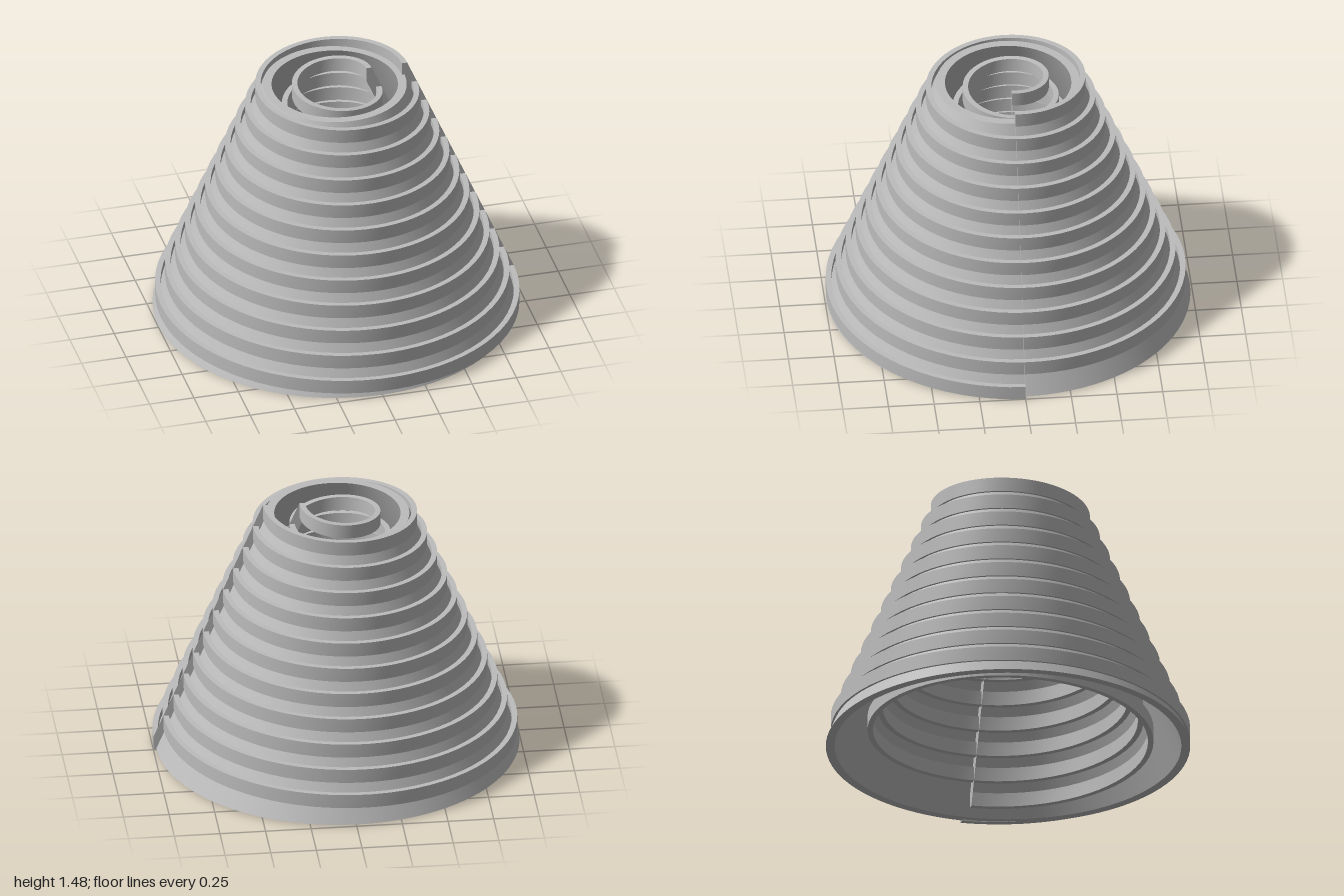
import * as THREE from 'three';
import { toCreasedNormals } from 'three/addons/utils/BufferGeometryUtils.js';

const TURNS = 11, STEPS = 72;          // helix turns, steps per turn
const RISE = 1.395, SHRINK = 0.6;      // height gained and radius lost over all turns
const THICK = 0.03, TALL = 0.08;       // ribbon cross-section

const grey = new THREE.MeshStandardMaterial({ color: 0xbdbdbd });
grey.name = 'grey';
const greyThin = grey.clone();
greyThin.side = THREE.DoubleSide;

// One side of the ribbon: the edge a-b of the cross-section swept up the conical helix
function helixStrip(radius, a, b) {
  const pos = [], idx = [];
  const n = TURNS * STEPS;
  for (let k = 0; k <= n; k++) {
    const t = k / n, ang = (k / STEPS) * Math.PI * 2;
    for (const [dr, dy] of [a, b]) {
      const r = radius - SHRINK * t + dr;
      pos.push(r * Math.cos(ang), RISE * t + dy, r * Math.sin(ang));
    }
    if (k < n) {
      const i = 2 * k;
      idx.push(i, i + 1, i + 2, i + 1, i + 3, i + 2);
    }
  }
  const g = new THREE.BufferGeometry();
  g.setAttribute('position', new THREE.Float32BufferAttribute(pos, 3));
  g.setIndex(idx);
  g.computeVertexNormals();
  return g;
}

// Rectangular ribbon wound on a cone, with a flat web joining its two ends
function ribbon(name, radius) {
  const group = new THREE.Group();
  group.name = name;
  const section = [[-THICK, 0], [0, 0], [0, TALL], [-THICK, TALL]];
  const sides = ['Underside', 'OuterFace', 'TopFace', 'InnerFace'];
  section.forEach((corner, i) => {
    const m = new THREE.Mesh(helixStrip(radius, corner, section[(i + 1) % 4]), grey);
    m.name = name + sides[i];
    group.add(m);
  });

  const end = radius - SHRINK;
  const outline = [
    [radius - THICK, 0], [radius, 0], [radius, TALL],
    [end, RISE + TALL], [end - THICK, RISE + TALL], [end - THICK, RISE],
  ].map(([x, y]) => new THREE.Vector2(x, y));
  const web = new THREE.Mesh(new THREE.ShapeGeometry(new THREE.Shape(outline)), greyThin);
  web.name = name + 'SeamWeb';
  group.add(web);
  return group;
}

export function createModel() {
  const model = new THREE.Group();
  model.name = 'threadedCone';
  const body = new THREE.Group();
  body.name = 'body';
  body.position.x = -0.008;
  model.add(body);

  // Hollow cone wall, open at both ends
  const profile = [[0.992, 0.007], [0.392, 1.403], [0.344, 1.403], [0.944, 0.007], [0.992, 0.007]]
    .map(([r, y]) => new THREE.Vector2(r, y));
  const wall = new THREE.Mesh(toCreasedNormals(new THREE.LatheGeometry(profile, 96), 0.5), grey);
  wall.name = 'coneWall';
  body.add(wall);

  // Thread on the outside and a free-standing coil inside
  body.add(ribbon('outerThread', 1.008), ribbon('innerCoil', 0.808));
  return model;
}
